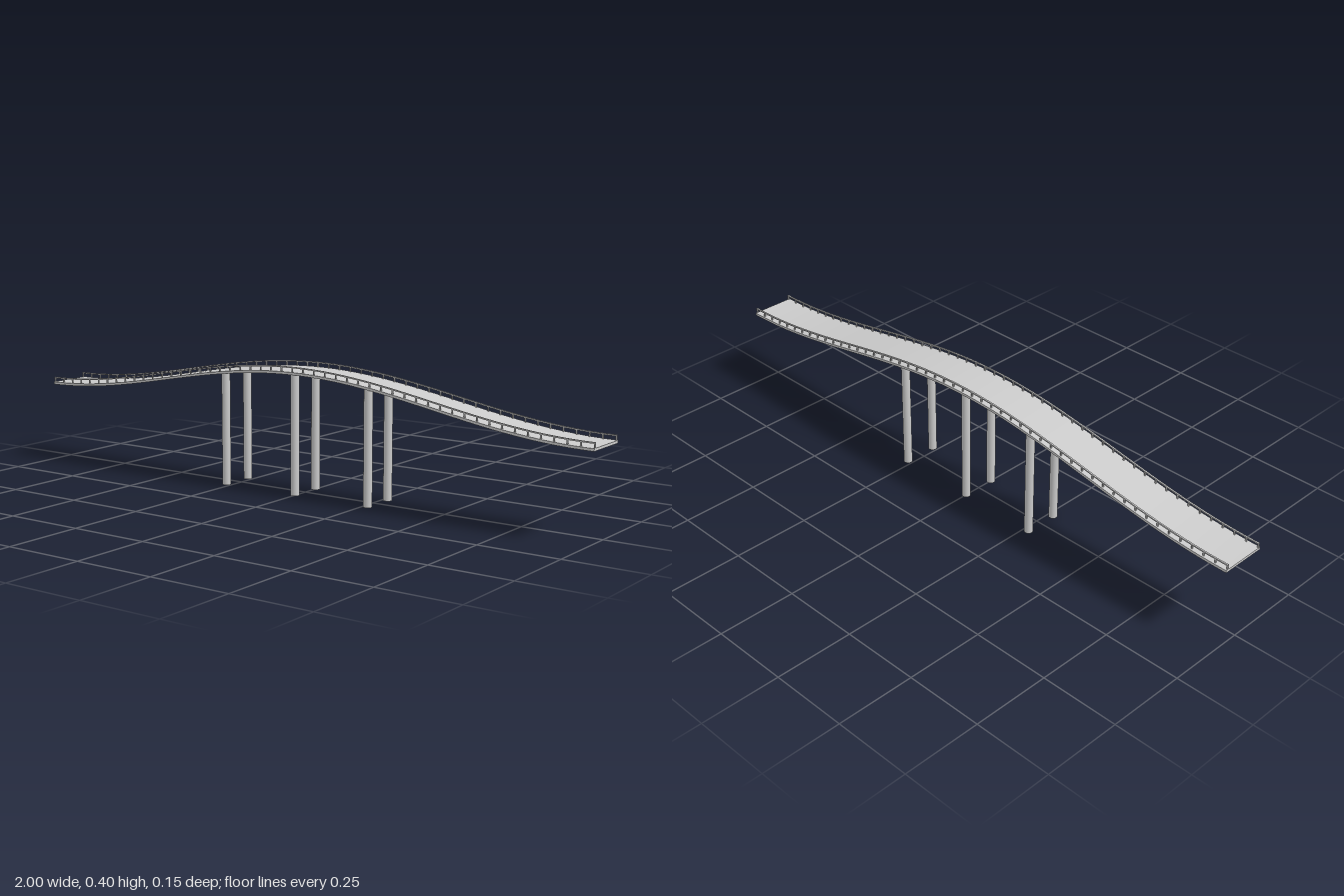
import * as THREE from 'three';
import { toCreasedNormals } from 'three/addons/utils/BufferGeometryUtils.js';

const SEGMENTS = 64;
const HALF_WIDTH = 0.074;
const DECK_THICKNESS = 0.008;
const RAIL_HEIGHT = 0.016;
const RAIL_Z = 0.067;

// Height of the road surface: one smooth hump, level at both ends
const roadY = (x) => 0.264 + 0.118 * (1 + Math.cos(Math.PI * x)) / 2;

// Strip that follows the road between two offsets from its surface
function roadStrip(bottom, top, width) {
  const upper = [], lower = [];
  for (let i = 0; i <= SEGMENTS; i++) {
    const x = -1 + (2 * i) / SEGMENTS;
    upper.push(new THREE.Vector2(x, roadY(x) + top));
    lower.push(new THREE.Vector2(x, roadY(x) + bottom));
  }
  const shape = new THREE.Shape([...lower, ...upper.reverse()]);
  const geometry = new THREE.ExtrudeGeometry(shape, { depth: width, bevelEnabled: false });
  geometry.translate(0, 0, -width / 2);
  return toCreasedNormals(geometry, 0.5);
}

export function createModel() {
  const model = new THREE.Group();
  model.name = 'archedBridge';
  const material = new THREE.MeshStandardMaterial({ color: 0xcccccc });

  function add(parent, name, geometry, x = 0, y = 0, z = 0) {
    const mesh = new THREE.Mesh(geometry, material);
    mesh.name = name;
    mesh.position.set(x, y, z);
    parent.add(mesh);
  }

  // Road deck
  add(model, 'deck', roadStrip(-DECK_THICKNESS, 0, HALF_WIDTH * 2));

  // Railings: a handrail on evenly spaced posts along each edge
  const handrail = roadStrip(RAIL_HEIGHT - 0.004, RAIL_HEIGHT, 0.005);
  const postHeight = RAIL_HEIGHT - 0.002;
  const post = new THREE.BoxGeometry(0.004, postHeight, 0.004);
  const postCount = 51;
  for (const side of [1, -1]) {
    const railing = new THREE.Group();
    railing.name = side > 0 ? 'frontRailing' : 'backRailing';
    add(railing, 'handrail', handrail, 0, 0, side * RAIL_Z);
    for (let i = 0; i < postCount; i++) {
      const x = -0.998 + (1.996 * i) / (postCount - 1);
      add(railing, 'railPost', post, x, roadY(x) + postHeight / 2 - 0.001, side * RAIL_Z);
    }
    model.add(railing);
  }

  // Three pairs of round columns, reaching up into the deck
  for (const x of [-0.267, 0, 0.267]) {
    const pier = new THREE.Group();
    pier.name = 'pier';
    const height = roadY(x) - DECK_THICKNESS / 2;
    const column = new THREE.CylinderGeometry(0.0135, 0.0135, height, 32);
    for (const side of [1, -1]) add(pier, 'column', column, x, height / 2, side * 0.054);
    model.add(pier);
  }

  return model;
}
